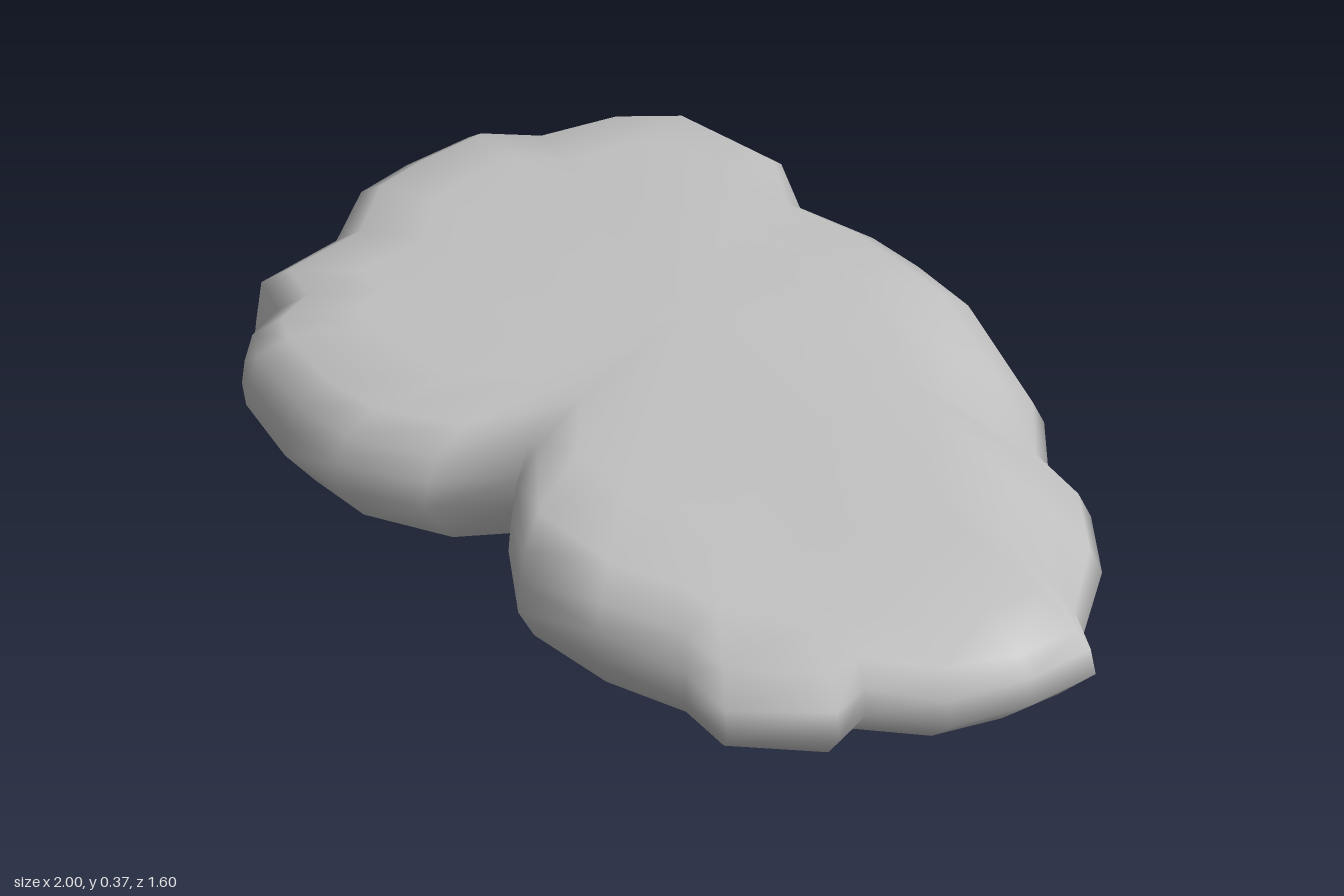
import * as THREE from 'three';

const { smoothstep, lerp } = THREE.MathUtils;

// Plan outline [x, z], running from the back round by +x, the front and -x
const OUTLINE = [
  [-0.55, -0.8], [-0.4, -0.775], [-0.25, -0.75], [-0.12, -0.61], [0.08, -0.59], [0.22, -0.54],
  [0.38, -0.46], [0.59, -0.32], [0.68, -0.14], [0.8, -0.07], [0.88, 0.06], [0.93, 0.27],
  [1, 0.38], [0.93, 0.49], [0.82, 0.59], [0.68, 0.64], [0.67, 0.72], [0.49, 0.8],
  [0.38, 0.755], [0.2, 0.76], [0, 0.72], [-0.13, 0.56], [-0.18, 0.45], [-0.33, 0.55],
  [-0.53, 0.58], [-0.68, 0.54], [-0.84, 0.46], [-0.89, 0.41], [-0.89, 0.32], [-0.98, 0.26],
  [-0.93, 0.06], [-1, -0.13], [-0.98, -0.28], [-0.93, -0.46], [-0.8, -0.53], [-0.69, -0.71],
];

// Rings from the underside to the top:
// [inset, height fraction] on steep flanks, then the same on sloping flanks
const RINGS = [
  [0.3, 0, 0.3, 0], [0.13, 0.03, 0.13, 0.03], [0.055, 0.12, 0.06, 0.12],
  [0, 0.42, 0, 0.38], [0.012, 0.62, 0.03, 0.55], [0.035, 0.82, 0.11, 0.7],
  [0.1, 0.95, 0.22, 0.87], [0.26, 1, 0.38, 1],
];

// Gently domed top, falling away more on the front -x lobe
function topY(x, z) {
  const fall = z > 0 ? lerp(0.22, 0.05, smoothstep(x, -0.3, 0)) : 0.05;
  return 0.373 - 0.045 * Math.max(0, x + 0.45) - 0.03 * Math.max(0, -0.45 - x) - fall * z * z;
}
const bottomY = (x, z) => 0.05 * (x + 0.1) ** 2 + 0.03 * z * z;

function rockGeometry() {
  const cx = -0.08, cz = 0;
  const n = OUTLINE.length;
  const pos = [], index = [];

  RINGS.forEach(([steepInset, steepF, slopeInset, slopeF], r) => {
    OUTLINE.forEach(([px, pz], i) => {
      const dx = px - cx, dz = pz - cz, len = Math.hypot(dx, dz);
      // The +x flank and the front nose slope; the +x end tapers to a point
      const side = smoothstep(px, 0.4, 0.65) * (1 - smoothstep(pz, 0.15, 0.38));
      const nose = 0.6 * smoothstep(px, 0.3, 0.5) * smoothstep(pz, 0.6, 0.75);
      const slope = Math.max(side, nose);
      const taper = smoothstep(px, 0.75, 1) * (1 - side);
      const inset = lerp(steepInset, slopeInset, slope) * (1 + 0.45 * taper);
      const d = Math.min(inset, len * 0.42);
      const x = cx + dx * (1 - d / len), z = cz + dz * (1 - d / len);
      // Uneven widest line along the flank, lower at the -x end
      const wave = r === 3 || r === 4
        ? 0.04 * Math.sin(i * 1.7) + 0.08 * taper - 0.1 * smoothstep(-px, 0.75, 1) : 0;
      const f = lerp(steepF, slopeF, slope) + wave;
      pos.push(x, lerp(bottomY(x, z), topY(x, z), f), z);
    });
  });

  // Flank quads
  for (let r = 0; r < RINGS.length - 1; r++) {
    for (let i = 0; i < n; i++) {
      const j = (i + 1) % n;
      const a = r * n + i, b = r * n + j, c = a + n, d = b + n;
      index.push(a, c, b, b, c, d);
    }
  }
  // Close the underside and the top
  const low = pos.length / 3, high = low + 1, last = (RINGS.length - 1) * n;
  pos.push(cx, bottomY(cx, cz), cz, cx, topY(cx, cz), cz);
  for (let i = 0; i < n; i++) {
    const j = (i + 1) % n;
    index.push(low, i, j, high, last + j, last + i);
  }

  const g = new THREE.BufferGeometry();
  g.setAttribute('position', new THREE.Float32BufferAttribute(pos, 3));
  g.setIndex(index);
  g.computeVertexNormals();
  return g;
}

export function createModel() {
  const group = new THREE.Group();
  group.name = 'flatRock';
  const stone = new THREE.MeshStandardMaterial({ color: 0xc0c0c0 });
  stone.name = 'stone grey';
  const rock = new THREE.Mesh(rockGeometry(), stone);
  rock.name = 'rockSlab';
  group.add(rock);
  return group;
}
